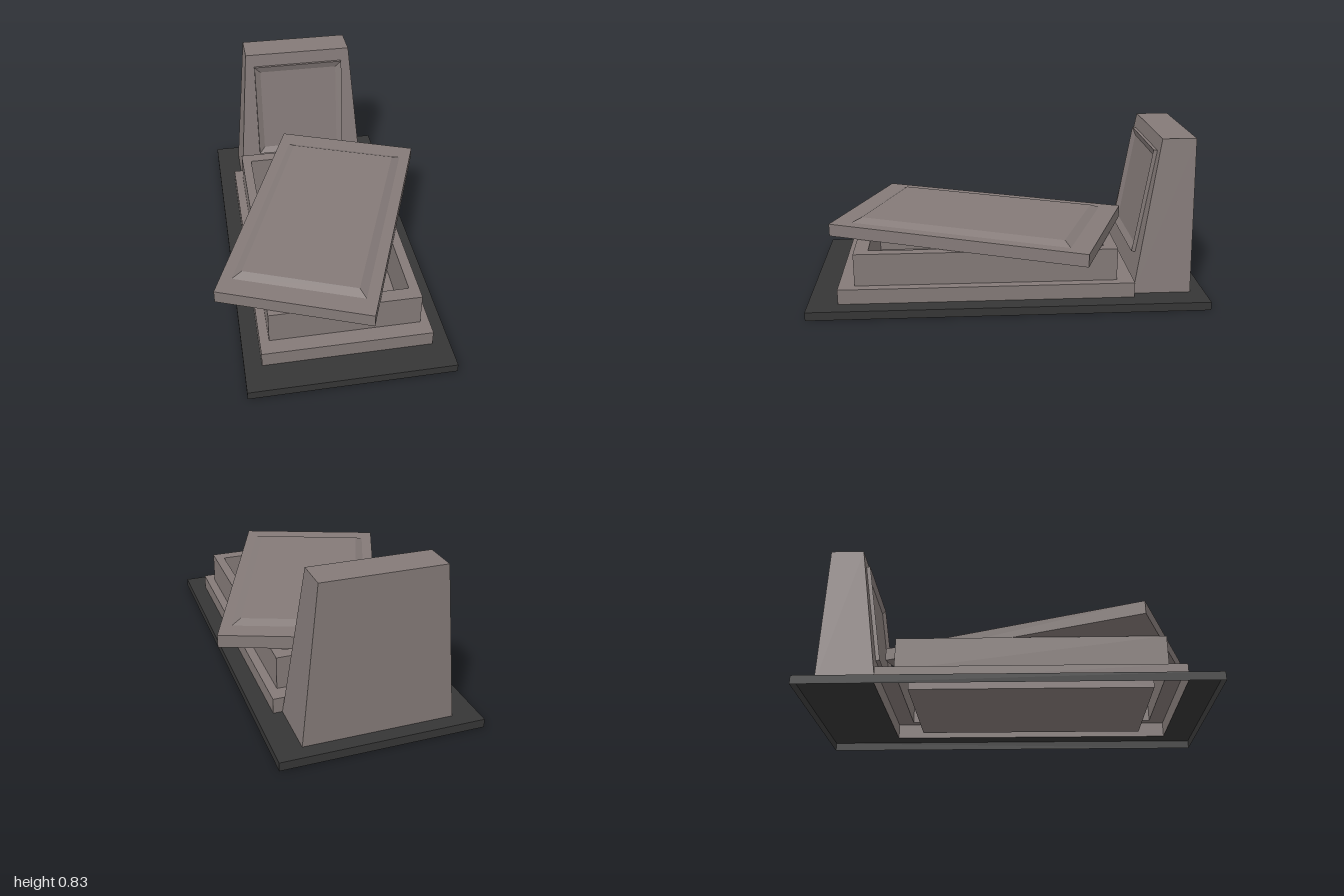
import * as THREE from 'three';

const stone = new THREE.MeshStandardMaterial({ color: 0x847a78, side: THREE.DoubleSide });
stone.name = 'weathered stone';
const slate = new THREE.MeshStandardMaterial({ color: 0x363636, side: THREE.DoubleSide });
slate.name = 'dark slate';

// Joins rectangular rings [halfX, zBack, zFront, y] into one flat-faced shell
function loft(name, material, rings, capTop = false, capBottom = false) {
  const loops = rings.map(([x, zb, zf, y]) => [[-x, y, zf], [x, y, zf], [x, y, zb], [-x, y, zb]]);
  const pos = [];
  const quad = (a, b, c, d) => pos.push(...a, ...b, ...c, ...a, ...c, ...d);
  for (let r = 0; r < loops.length - 1; r++) {
    const a = loops[r], b = loops[r + 1];
    for (let i = 0; i < 4; i++) {
      const j = (i + 1) % 4;
      quad(a[i], a[j], b[j], b[i]);
    }
  }
  if (capTop) quad(...loops[loops.length - 1]);
  if (capBottom) quad(...[...loops[0]].reverse());
  const geometry = new THREE.BufferGeometry();
  geometry.setAttribute('position', new THREE.Float32BufferAttribute(pos, 3));
  geometry.computeVertexNormals();
  const mesh = new THREE.Mesh(geometry, material);
  mesh.name = name;
  return mesh;
}

export function createModel() {
  const group = new THREE.Group();
  group.name = 'openTomb';

  // Ground slab, open below and under the coffer
  group.add(loft('groundSlab', slate, [
    [0.5, -1, 1, 0],
    [0.5, -1, 1, 0.043],
    [0.415, -0.63, 0.85, 0.043],
  ]));
  // Strip that closes nothing but the slab top; the coffer rises from its opening

  // Stepped coffer with a hollow inside
  group.add(loft('coffer', stone, [
    [0.415, -0.63, 0.85, 0.043],
    [0.415, -0.63, 0.85, 0.12],
    [0.37, -0.545, 0.77, 0.12],
    [0.37, -0.545, 0.77, 0.287],
    [0.32, -0.48, 0.70, 0.287],
    [0.32, -0.48, 0.70, 0.04],
  ], true));

  // Lid pushed askew, with a bevelled raised panel
  const lid = loft('lid', stone, [
    [0.382, -0.687, 0.687, 0.29],
    [0.382, -0.687, 0.687, 0.355],
    [0.325, -0.585, 0.585, 0.355],
    [0.285, -0.545, 0.545, 0.376],
  ], true, true);
  lid.position.z = 0.14;
  lid.rotation.y = THREE.MathUtils.degToRad(-21.4);
  group.add(lid);

  // Tapered headstone with an upright back
  group.add(loft('headstone', stone, [
    [0.37, -0.925, -0.63, 0.043],
    [0.298, -0.925, -0.755, 0.83],
  ], true));

  // Raised frame sloping in to the panel on the headstone face
  const frame = loft('headstonePanel', stone, [
    [0.253, -0.272, 0.272, 0],
    [0.253, -0.272, 0.272, 0.02],
    [0.22, -0.237, 0.237, 0.003],
  ], true);
  frame.position.set(0, 0.492, -0.701);
  frame.rotation.x = Math.PI / 2 - Math.atan2(0.125, 0.787);
  group.add(frame);

  return group;
}
